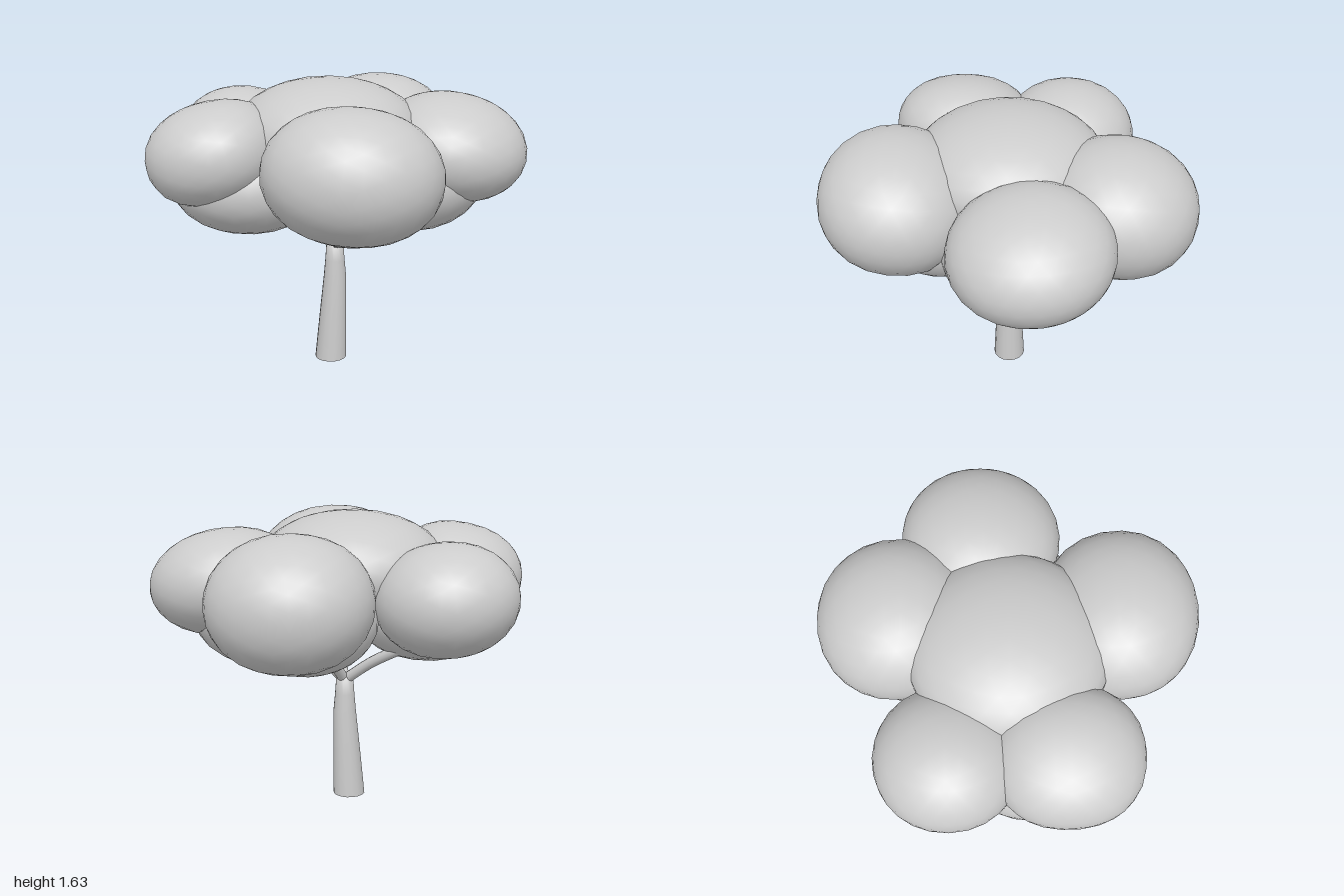
import * as THREE from 'three';
import { mergeVertices } from 'three/addons/utils/BufferGeometryUtils.js';

// Smooth, coarse ellipsoid; roundness p swells it toward a box (2 = plain ellipsoid)
function clumpGeometry(radii, [tiltX, tiltZ], p) {
  const sphere = new THREE.IcosahedronGeometry(1, 4);
  sphere.deleteAttribute('uv');
  sphere.deleteAttribute('normal');
  const geometry = mergeVertices(sphere, 1e-4);
  const pos = geometry.attributes.position;
  const v = new THREE.Vector3();
  for (let i = 0; i < pos.count; i++) {
    v.fromBufferAttribute(pos, i);
    const norm = Math.abs(v.x) ** p + Math.abs(v.y) ** p + Math.abs(v.z) ** p;
    v.multiplyScalar(norm ** (-1 / p));
    pos.setXYZ(i, v.x, v.y, v.z);
  }
  geometry.scale(...radii);
  geometry.rotateX(tiltX);
  geometry.rotateZ(tiltZ);
  geometry.computeVertexNormals();
  return geometry;
}

export function createModel() {
  const tree = new THREE.Group();
  tree.name = 'tree';
  const grey = new THREE.MeshStandardMaterial({ color: 0xcccccc, side: THREE.DoubleSide });
  grey.name = 'plain grey';

  const add = (name, geometry) => {
    const mesh = new THREE.Mesh(geometry, grey);
    mesh.name = name;
    tree.add(mesh);
    return mesh;
  };

  // Trunk: open tapered tube that leans gently toward the middle as it rises
  const profile = [[0.09, 0], [0.083, 0.15], [0.074, 0.32], [0.064, 0.5], [0.055, 0.6], [0.048, 0.7], [0, 0.705]];
  const trunk = new THREE.LatheGeometry(profile.map(([r, y]) => new THREE.Vector2(r, y)), 16);
  const p = trunk.attributes.position;
  for (let i = 0; i < p.count; i++) {
    const t = Math.min(p.getY(i) / 0.5, 1);
    p.setX(i, p.getX(i) - 0.077 + 0.026 * t);
  }
  add('trunk', trunk);

  // Branches: each curves from the fork up into the leaves
  const tips = {
    leftBranch: [0.22, 0.94, -0.05],
    frontBranch: [0.06, 0.92, 0.27],
    rightBranch: [-0.37, 0.9, -0.14],
    backBranch: [0.06, 0.96, -0.3],
  };
  const fork = new THREE.Vector3(-0.05, 0.675, 0);
  for (const [name, tip] of Object.entries(tips)) {
    const end = new THREE.Vector3(...tip);
    const middle = fork.clone().lerp(end, 0.5).add(new THREE.Vector3(0, 0.015, 0));
    const curve = new THREE.CatmullRomCurve3([fork, middle, end]);
    add(name, new THREE.TubeGeometry(curve, 8, 0.03, 10));
    add(name + 'Tip', new THREE.SphereGeometry(0.03, 10, 6)).position.copy(end);
  }

  // Leaf clumps: name, centre, radii, tilts about x and z, roundness
  const clumps = [
    ['topClump', [-0.09, 1.33, 0], [0.52, 0.3, 0.53], [0, 0], 2],
    ['frontClump', [0.12, 1.235, 0.58], [0.46, 0.345, 0.42], [-0.12, -0.06], 2.1],
    ['backClump', [0.13, 1.225, -0.58], [0.43, 0.345, 0.42], [-0.1, 0], 2.1],
    ['leftClump', [0.58, 1.245, -0.13], [0.42, 0.29, 0.425], [0.06, -0.15], 2.05],
    ['rightFrontClump', [-0.65, 1.265, 0.28], [0.36, 0.27, 0.39], [0, 0.2], 2.2],
    ['rightBackClump', [-0.63, 1.22, -0.32], [0.375, 0.295, 0.38], [0, -0.08], 2.05],
    ['lowerLeftClump', [0.35, 1.08, -0.1], [0.42, 0.3, 0.44], [0, 0], 2],
    ['lowerFrontClump', [0.09, 1.1, 0.35], [0.36, 0.29, 0.38], [0, 0], 2],
    ['lowerRightClump', [-0.5, 1.09, 0.12], [0.43, 0.29, 0.45], [0, 0], 2.05],
    ['lowerBackClump', [0.08, 1.12, -0.45], [0.38, 0.29, 0.38], [0, 0], 2],
  ];
  for (const [name, centre, radii, tilts, roundness] of clumps) {
    add(name, clumpGeometry(radii, tilts, roundness)).position.set(...centre);
  }
  return tree;
}
